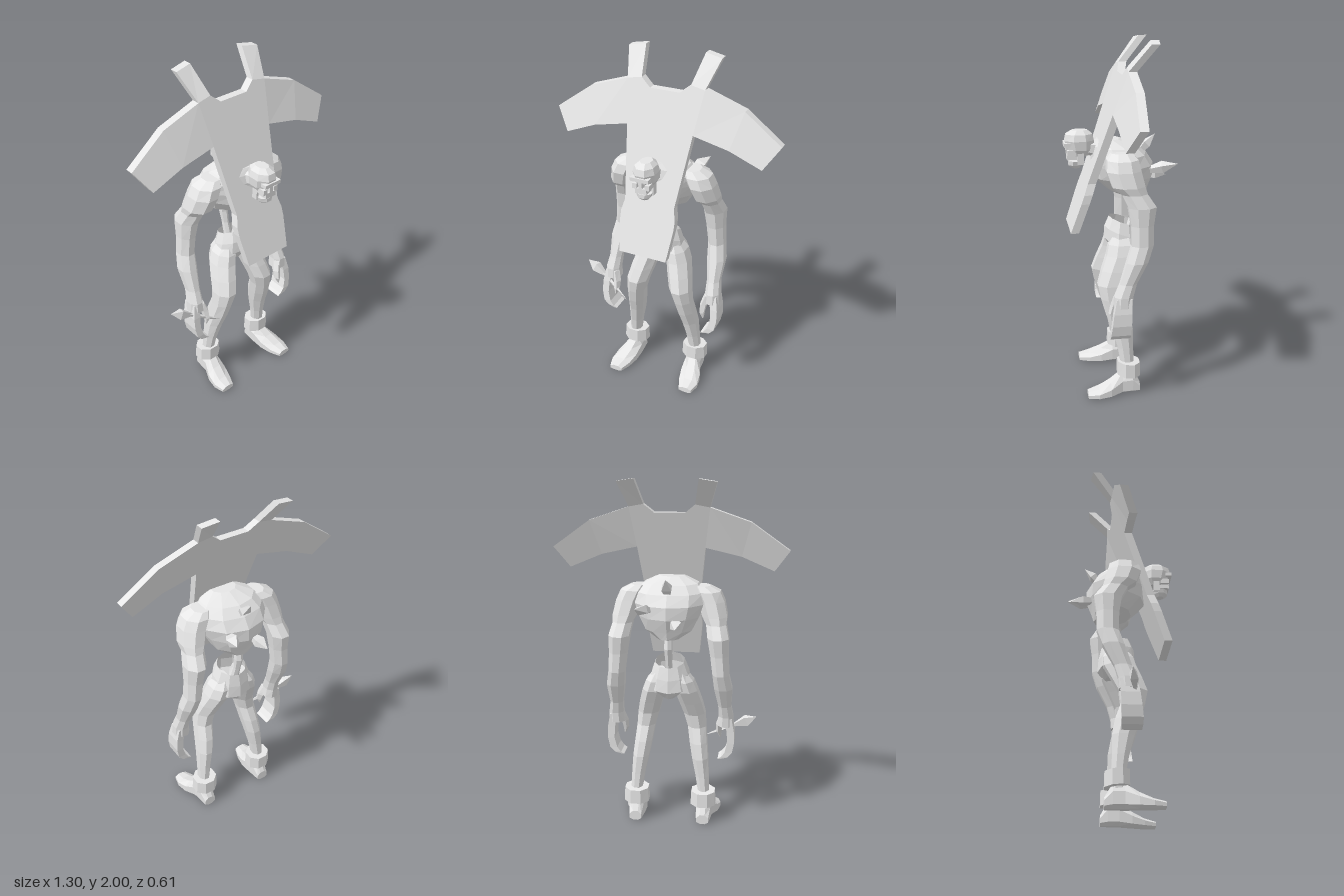
import * as THREE from 'three';

const grey = new THREE.MeshStandardMaterial({ color: 0xe6e6e6, flatShading: true, side: THREE.DoubleSide });
grey.name = 'plain grey';

// Skin over rings [x, y, z, radiusX, radiusOther]; rings lie flat, or upright when axis is 'z'
function loft(rings, { sides = 8, axis = 'y', side = 1, openEnd = false, tilt = 0 } = {}) {
  const pos = [], idx = [];
  const put = (x, y, z) => pos.push(x * side, Math.max(0, y), z);
  for (const [x, y, z, a, b] of rings) {
    for (let i = 0; i < sides; i++) {
      const t = ((i + 0.5) / sides) * Math.PI * 2;
      const u = Math.cos(t) * a, v = Math.sin(t) * b;
      if (axis === 'z') put(x + u, y + v, z);
      else put(x + u, y + v * tilt, z + v);
    }
  }
  for (let r = 0; r < rings.length - 1; r++) {
    for (let i = 0; i < sides; i++) {
      const a = r * sides + i, b = r * sides + (i + 1) % sides;
      idx.push(a, a + sides, b, b, a + sides, b + sides);
    }
  }
  const last = (rings.length - 1) * sides;
  for (let i = 1; i < sides - 1; i++) {
    idx.push(0, i, i + 1);
    if (!openEnd) idx.push(last, last + i + 1, last + i);
  }
  // Turn faces outward whatever the ring order
  const p = i => new THREE.Vector3().fromArray(pos, i * 3);
  const c = p(0).add(p(last + (sides >> 1))).multiplyScalar(0.5);
  let volume = 0;
  for (let i = 0; i < idx.length; i += 3) {
    volume += p(idx[i]).sub(c).dot(p(idx[i + 1]).sub(c).cross(p(idx[i + 2]).sub(c)));
  }
  if (volume < 0) idx.reverse();
  const g = new THREE.BufferGeometry();
  g.setAttribute('position', new THREE.Float32BufferAttribute(pos, 3));
  g.setIndex(idx);
  g.computeVertexNormals();
  return g;
}

// Four-sided blade from a base point to a tip
function blade(from, to, width) {
  const a = new THREE.Vector3(...from), d = new THREE.Vector3(...to).sub(a);
  const len = d.length();
  const g = loft([[0, 0, 0, 0.012, 0.012], [0, len * 0.55, 0, width, width * 0.75], [0, len, 0, 0.001, 0.001]], { sides: 4 });
  g.applyQuaternion(new THREE.Quaternion().setFromUnitVectors(new THREE.Vector3(0, 1, 0), d.normalize()));
  return g.translate(a.x, a.y, a.z);
}

// Leaning panel: extruded outline sheared back, with swept wings and horns
function panel(outline) {
  const shape = new THREE.Shape(outline.map(p => new THREE.Vector2(...p)));
  const g = new THREE.ExtrudeGeometry(shape, { depth: 0.045, bevelEnabled: false });
  const p = g.attributes.position;
  for (let i = 0; i < p.count; i++) {
    const x = Math.abs(p.getX(i)), y = p.getY(i);
    const front = 0.285 - 0.343 * (y - 0.96) - 0.17 * Math.max(0, x - 0.3) - 0.5 * Math.max(0, y - 1.86);
    p.setZ(i, p.getZ(i) - 0.045 + front);
  }
  g.computeVertexNormals();
  return g;
}

export function createModel() {
  const model = new THREE.Group();
  const add = (name, geometry, parent = model) => {
    const m = new THREE.Mesh(geometry, grey);
    m.name = name;
    parent.add(m);
  };
  const box = (name, w, h, d, x, y, z, parent) => add(name, new THREE.BoxGeometry(w, h, d).translate(x, y, z), parent);

  // Middle of the board
  const half = [[0.14, 0.96], [0.16, 1.13], [0.16, 1.18], [0.145, 1.24], [0.19, 1.62], [0.22, 1.845], [0.14, 1.86], [0.085, 1.815]];
  add('board', panel([...half, ...half.slice().reverse().map(([x, y]) => [-x, y])]));

  // Hunched trunk
  add('torso', loft([
    [0, 1.13, -0.09, 0.06, 0.06], [0, 1.175, -0.05, 0.135, 0.115], [0, 1.25, -0.025, 0.175, 0.17],
    [0, 1.32, -0.02, 0.2, 0.175], [0, 1.38, 0.0, 0.2, 0.155], [0, 1.425, 0.02, 0.16, 0.125], [0, 1.46, 0.06, 0.075, 0.065],
  ], { sides: 10 }));
  add('spine', loft([
    [0, 0.88, -0.05, 0.025, 0.025], [0, 1.0, -0.085, 0.02, 0.022], [0, 1.07, -0.1, 0.025, 0.028], [0, 1.16, -0.09, 0.022, 0.025],
  ], { sides: 6 }));
  add('pelvis', loft([
    [0, 0.79, -0.025, 0.045, 0.06], [0, 0.85, -0.02, 0.125, 0.105], [0, 0.92, -0.02, 0.11, 0.1], [0, 0.985, -0.025, 0.085, 0.08],
  ], { sides: 10, openEnd: true, tilt: 0.35 }));
  add('neck', loft([
    [0, 1.39, 0.02, 0.07, 0.065], [0, 1.4, 0.1, 0.055, 0.055], [0, 1.415, 0.18, 0.042, 0.042],
  ], { sides: 6, axis: 'z' }));

  // Skull with brow, cheeks and open jaw
  const head = new THREE.Group();
  head.name = 'head';
  model.add(head);
  add('cranium', loft([
    [0, 1.37, 0.215, 0.042, 0.05], [0, 1.405, 0.212, 0.062, 0.075], [0, 1.455, 0.218, 0.068, 0.087],
    [0, 1.49, 0.218, 0.058, 0.078], [0, 1.512, 0.215, 0.032, 0.045],
  ]), head);
  box('brow', 0.105, 0.02, 0.035, 0, 1.435, 0.287, head);
  for (const x of [-0.036, 0.036]) box('cheek', 0.026, 0.03, 0.05, x, 1.39, 0.262, head);
  box('nose', 0.02, 0.04, 0.03, 0, 1.403, 0.278, head);
  box('upperTeeth', 0.066, 0.03, 0.06, 0, 1.365, 0.258, head);
  add('jaw', loft([
    [0, 1.3, 0.238, 0.022, 0.022], [0, 1.318, 0.242, 0.04, 0.04], [0, 1.342, 0.238, 0.048, 0.045],
  ]), head);
  for (const x of [-0.042, 0.042]) box('jawHinge', 0.012, 0.07, 0.035, x, 1.36, 0.215, head);

  for (const side of [1, -1]) {
    const word = side > 0 ? 'left' : 'right';
    const part = (name, rings, options = {}) => add(word + name, loft(rings, { side, ...options }));

    // Drooping wing in two panels, and the horn
    const wing = (name, outline) => add(word + name, panel(outline.map(([x, y]) => [x * side, y])));
    wing('InnerWing', [[0.19, 1.62], [0.39, 1.575], [0.44, 1.77], [0.22, 1.845]]);
    wing('OuterWing', [[0.39, 1.575], [0.57, 1.5], [0.65, 1.62], [0.44, 1.77]]);
    wing('Horn', [[0.14, 1.86], [0.22, 1.845], [0.265, 1.985], [0.17, 2.0]]);

    // Arm and clawed hand
    part('Arm', [
      [0.175, 1.415, 0.01, 0.05, 0.06], [0.205, 1.385, 0.01, 0.08, 0.09], [0.23, 1.33, 0.008, 0.08, 0.1],
      [0.252, 1.25, -0.015, 0.075, 0.095], [0.262, 1.21, -0.045, 0.06, 0.075], [0.277, 1.14, -0.085, 0.063, 0.082],
      [0.285, 1.04, -0.085, 0.054, 0.066], [0.295, 0.93, -0.085, 0.05, 0.064], [0.308, 0.84, -0.055, 0.055, 0.063],
      [0.315, 0.72, -0.005, 0.04, 0.05], [0.322, 0.65, 0.02, 0.045, 0.055], [0.32, 0.59, 0.025, 0.05, 0.055],
    ]);
    part('Fingers', [
      [0.335, 0.64, 0.02, 0.03, 0.06], [0.35, 0.56, 0.03, 0.03, 0.07], [0.353, 0.49, 0.035, 0.028, 0.075],
      [0.34, 0.43, 0.04, 0.03, 0.078], [0.315, 0.4, 0.04, 0.026, 0.078], [0.285, 0.388, 0.04, 0.01, 0.075],
    ], { sides: 4 });
    part('Thumb', [
      [0.3, 0.64, 0.04, 0.022, 0.035], [0.282, 0.58, 0.06, 0.022, 0.03], [0.279, 0.53, 0.075, 0.017, 0.024], [0.287, 0.49, 0.08, 0.004, 0.006],
    ], { sides: 5 });

    // Leg, ankle cuff and foot
    part('Leg', [
      [0.06, 0.93, -0.02, 0.03, 0.06], [0.075, 0.87, -0.015, 0.065, 0.09], [0.093, 0.81, -0.005, 0.07, 0.095],
      [0.115, 0.73, 0.03, 0.07, 0.09], [0.135, 0.65, 0.062, 0.066, 0.083], [0.15, 0.57, 0.058, 0.057, 0.07],
      [0.162, 0.48, 0.03, 0.054, 0.073], [0.175, 0.39, 0.005, 0.05, 0.064], [0.19, 0.28, -0.01, 0.041, 0.048],
      [0.2, 0.18, -0.02, 0.035, 0.04], [0.2, 0.08, -0.02, 0.038, 0.046],
    ]);
    part('Cuff', [[0.198, 0.112, -0.028, 0.078, 0.07], [0.198, 0.195, -0.028, 0.074, 0.068]], { tilt: 0.1 });
    part('Foot', [
      [0.2, 0.025, -0.092, 0.038, 0.035], [0.2, 0.05, -0.05, 0.046, 0.085], [0.2, 0.05, 0.01, 0.052, 0.085],
      [0.217, 0.03, 0.08, 0.067, 0.055], [0.23, 0.018, 0.15, 0.064, 0.033], [0.235, 0.014, 0.212, 0.042, 0.022],
    ], { axis: 'z' });
  }

  // Blades stuck in the back
  add('upperBackBlade', blade([0, 1.36, -0.1], [0, 1.475, -0.205], 0.038));
  add('leftBackBlade', blade([0.09, 1.29, -0.13], [0.15, 1.335, -0.305], 0.042));
  add('lowerBackBlade', blade([-0.05, 1.24, -0.13], [-0.06, 1.225, -0.285], 0.04));

  // Throwing knife held in the right hand
  add('knifeBlade', blade([-0.37, 0.585, 0.05], [-0.495, 0.645, 0.03], 0.038));
  add('knifeGrip', blade([-0.38, 0.59, 0.05], [-0.2, 0.49, 0.11], 0.012));
  return model;
}
